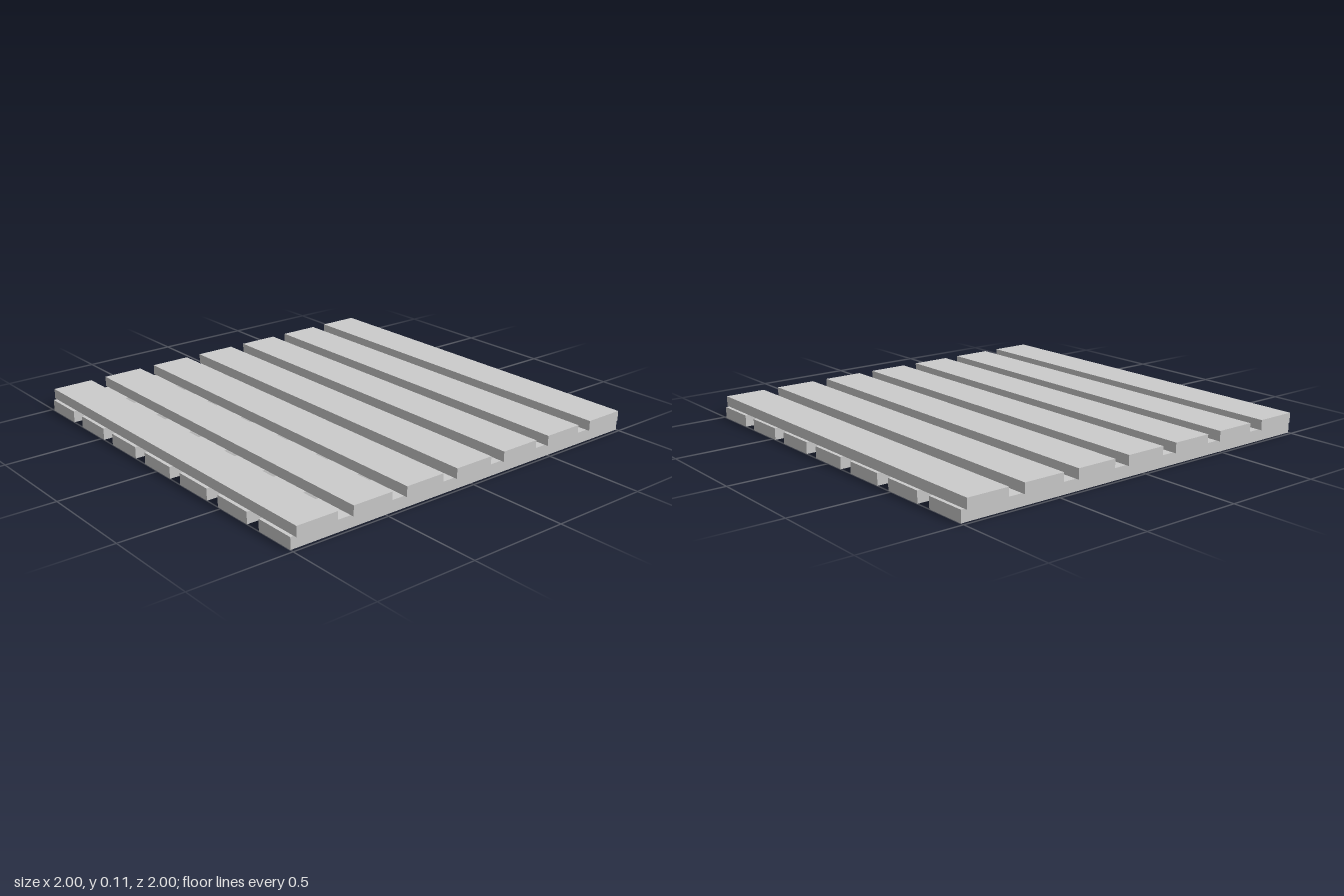
import * as THREE from 'three';

const COUNT = 7;        // slats per layer
const PITCH = 0.2925;   // distance between slat centres
const WIDTH = 0.21;
const LENGTH = 2;
const SPLIT = 0.057;    // height where the two layers meet
const TOP = 0.107;

export function createModel() {
  const model = new THREE.Group();
  model.name = 'slattedPanel';
  const material = new THREE.MeshStandardMaterial({ color: 0xcccccc, flatShading: true });

  // One layer of parallel slats running along z, between two heights
  function slatLayer(name, bottom, top) {
    const layer = new THREE.Group();
    layer.name = name + 'Layer';
    const geometry = new THREE.BoxGeometry(WIDTH, top - bottom, LENGTH);
    for (let i = 0; i < COUNT; i++) {
      const slat = new THREE.Mesh(geometry, material);
      slat.name = name + 'Slat' + (i + 1);
      slat.position.set((i - (COUNT - 1) / 2) * PITCH, (bottom + top) / 2, 0);
      layer.add(slat);
    }
    model.add(layer);
    return layer;
  }

  // Lower slats run side to side, upper slats run front to back
  slatLayer('lower', 0, SPLIT).rotation.y = Math.PI / 2;
  slatLayer('upper', SPLIT, TOP);

  return model;
}
